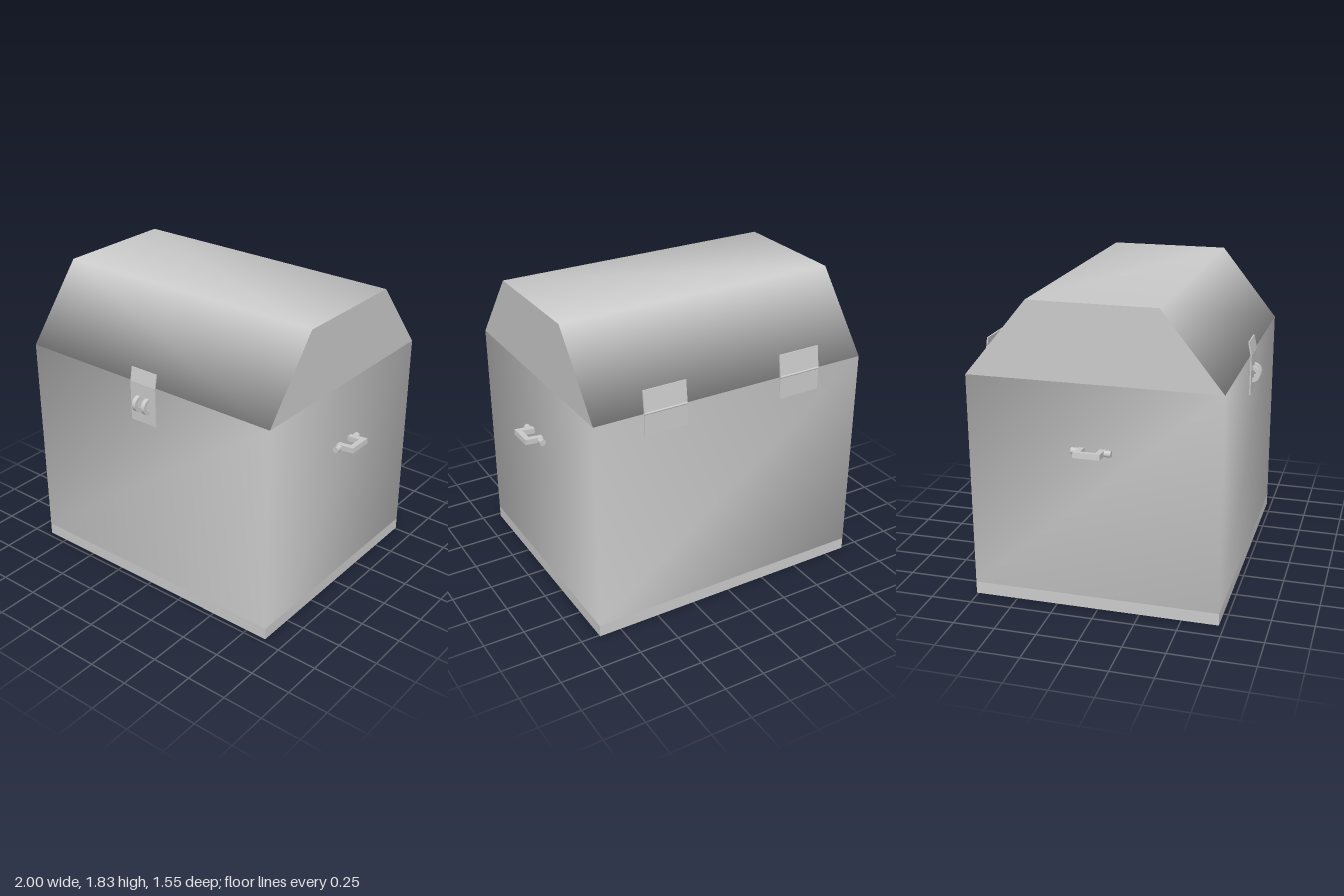
import * as THREE from 'three';
import { mergeGeometries } from 'three/addons/utils/BufferGeometryUtils.js';

const material = new THREE.MeshStandardMaterial({ color: 0xcccccc });

function add(parent, name, geometry, x = 0, y = 0, z = 0) {
  const mesh = new THREE.Mesh(geometry, material);
  mesh.name = name;
  mesh.position.set(x, y, z);
  parent.add(mesh);
  return mesh;
}

// Prism whose sides are shaded smoothly around the loop, with flat end caps.
// The loop runs counter-clockwise as seen from the end that offset points to.
function softPrism(loop, offset) {
  const n = loop.length;
  const ends = [...loop, ...loop.map((p) => p.clone().add(offset))];
  const sides = [], caps = [];
  for (let i = 0; i < n; i++) {
    const j = (i + 1) % n;
    sides.push(i, j, n + j, i, n + j, n + i);
  }
  for (let i = 1; i < n - 1; i++) {
    caps.push(0, i + 1, i, n, n + i, n + i + 1);
  }
  const make = (index) => {
    const g = new THREE.BufferGeometry().setFromPoints(ends);
    g.setIndex(index);
    return g;
  };
  const side = make(sides);
  side.computeVertexNormals();
  const cap = make(caps).toNonIndexed();
  cap.computeVertexNormals();
  return mergeGeometries([side.toNonIndexed(), cap]);
}

// Thin plate standing on its lower edge.
function leaf(width, height, thickness) {
  return new THREE.BoxGeometry(width, height, thickness).translate(0, height / 2, 0);
}

export function createModel() {
  const chest = new THREE.Group();
  chest.name = 'chest';
  const W = 0.885, front = 0.72, back = -0.76, rim = 1.375, top = 1.825, baseTop = 0.075;
  const v = (x, y, z) => new THREE.Vector3(x, y, z);

  // Base slab, walls and lid
  add(chest, 'base', new THREE.BoxGeometry(2 * W, baseTop, front - back), 0, baseTop / 2, (front + back) / 2);
  add(chest, 'body', softPrism(
    [v(-W, baseTop, front), v(W, baseTop, front), v(W, baseTop, back), v(-W, baseTop, back)],
    v(0, rim - baseTop, 0)));
  add(chest, 'lid', softPrism(
    [v(-W, rim, front), v(-W, rim, back), v(-W, top, -0.39), v(-W, top, 0.36)],
    v(2 * W, 0, 0)));

  // Back hinges: fixed leaf, knuckle and a leaning lid leaf
  for (const side of [-1, 1]) {
    const hinge = new THREE.Group();
    hinge.name = 'hinge';
    hinge.position.set(side * 0.445, rim, back - 0.003);
    add(hinge, 'lowerLeaf', leaf(0.27, 0.135, 0.008), 0, -0.135, 0);
    add(hinge, 'upperLeaf', leaf(0.27, 0.135, 0.008)).rotation.x = 0.13;
    add(hinge, 'knuckle', new THREE.CylinderGeometry(0.008, 0.008, 0.27, 10).rotateZ(Math.PI / 2));
    chest.add(hinge);
  }

  // Front latch: plate, leaning flap and two half-ring loops
  const latch = new THREE.Group();
  latch.name = 'latch';
  latch.position.set(-0.002, rim, front + 0.004);
  add(latch, 'plate', leaf(0.185, 0.245, 0.008), 0, -0.245, 0);
  add(latch, 'flap', leaf(0.185, 0.082, 0.008)).rotation.x = -0.2;
  const arc = new THREE.Shape();
  arc.absarc(0, 0, 0.05, -Math.PI / 2, Math.PI / 2, false);
  arc.absarc(0, 0, 0.027, Math.PI / 2, -Math.PI / 2, true);
  const ring = new THREE.ExtrudeGeometry(arc, { depth: 0.025, bevelEnabled: false, curveSegments: 8 })
    .translate(0, 0, -0.0125).rotateY(-Math.PI / 2);
  for (const x of [-0.034, 0.034]) add(latch, 'latchLoop', ring, x, 1.245 - rim, 0);
  chest.add(latch);

  // Side handles: pivot pins on the wall and a slightly raised U-shaped bar
  for (const side of [-1, 1]) {
    const handle = new THREE.Group();
    handle.name = 'handle';
    handle.position.set(side * W, 0.988, -0.02);
    if (side < 0) handle.scale.x = -1;
    const bar = new THREE.Group();
    bar.name = 'bar';
    bar.rotation.z = 0.09;
    for (const end of [-1, 1]) {
      add(handle, 'pin', new THREE.CylinderGeometry(0.02, 0.02, 0.04, 8)
        .rotateX(Math.PI / 2), 0.02, 0, end * 0.096);
      add(bar, 'arm', new THREE.BoxGeometry(0.085, 0.032, 0.034), 0.0425, 0, end * 0.061);
    }
    add(bar, 'grip', new THREE.BoxGeometry(0.034, 0.032, 0.156), 0.098, 0, 0);
    handle.add(bar);
    chest.add(handle);
  }

  return chest;
}
